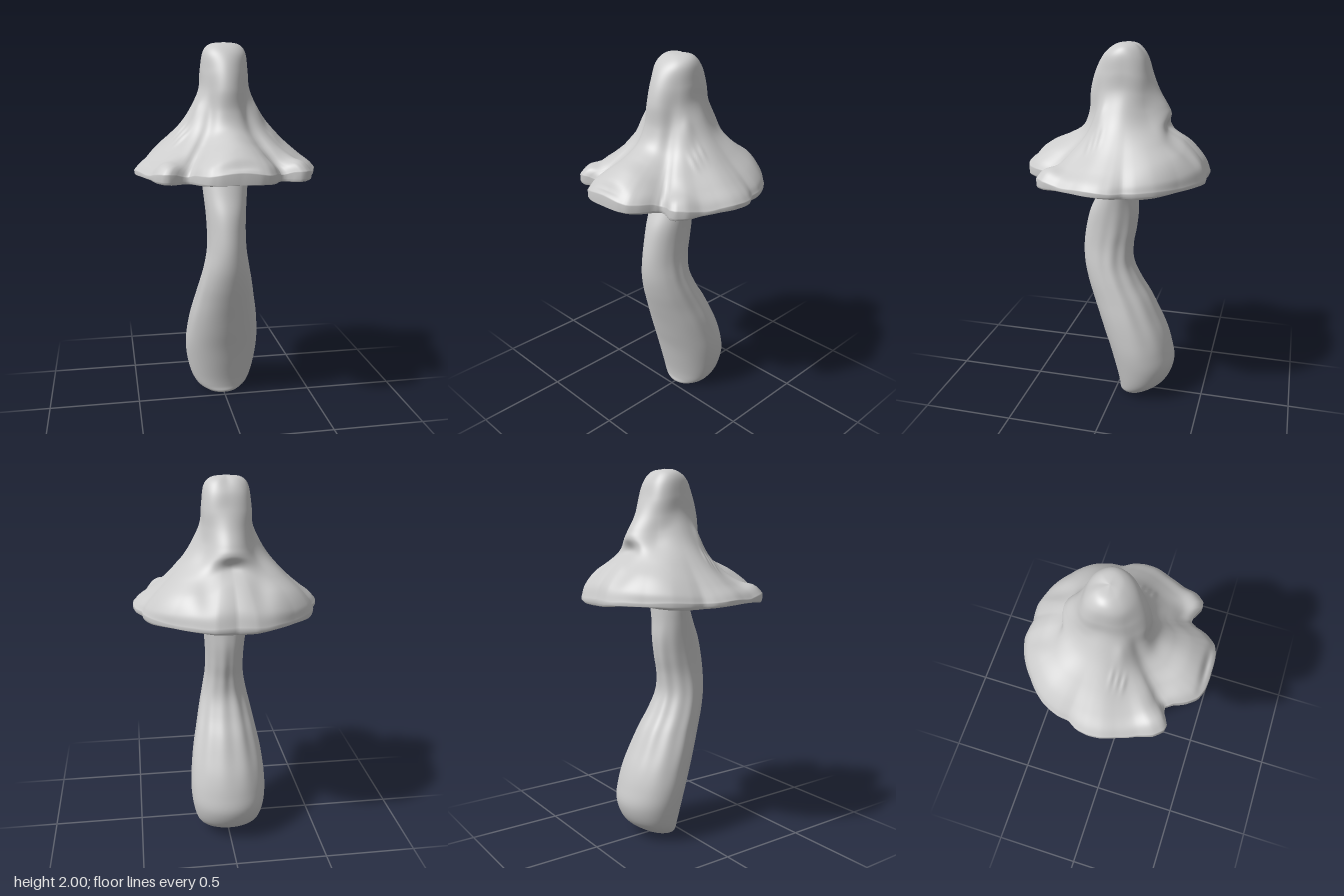
import * as THREE from 'three';
import { mergeVertices } from 'three/addons/utils/BufferGeometryUtils.js';

const COLS = 224;
const MID_Z = -0.05; // axis of the cap
const smooth = THREE.MathUtils.smoothstep;
const lerp = THREE.MathUtils.lerp;
const curve = (pts, closed = false) =>
  new THREE.CatmullRomCurve3(pts.map(p => new THREE.Vector3(p[0], p[1], p[2] || 0)), closed, 'catmullrom');
const bump = (x, z, cx, cz, sx, sz) => Math.exp(-(((x - cx) / sx) ** 2) - ((z - cz) / sz) ** 2);

// Closed-round skin from rings listed top to bottom; ring(i) returns a point function of the angle.
function skin(name, rows, ring, material) {
  const pos = [], index = [];
  for (let i = 0; i <= rows; i++) {
    const at = ring(i);
    for (let j = 0; j < COLS; j++) pos.push(...at((j / COLS) * Math.PI * 2));
  }
  for (let i = 0; i < rows; i++) {
    for (let j = 0; j < COLS; j++) {
      const k = (j + 1) % COLS, a = i * COLS + j, b = a + COLS, c = i * COLS + k, d = c + COLS;
      index.push(a, b, c, c, b, d);
    }
  }
  let geo = new THREE.BufferGeometry();
  geo.setAttribute('position', new THREE.Float32BufferAttribute(pos, 3));
  geo.setIndex(index);
  geo = mergeVertices(geo, 1e-5);
  geo.computeVertexNormals();
  const mesh = new THREE.Mesh(geo, material);
  mesh.name = name;
  return mesh;
}

// Cap profiles [distance from axis, height], front round to back in 45 degree steps
const front = [[0, 2], [.06, 1.988], [.12, 1.94], [.165, 1.86], [.193, 1.76], [.2, 1.65], [.235, 1.565], [.31, 1.515], [.40, 1.475], [.48, 1.42], [.525, 1.37]];
const frontCorner = [[0, 2], [.07, 1.987], [.12, 1.94], [.14, 1.85], [.155, 1.75], [.19, 1.65], [.245, 1.55], [.32, 1.475], [.41, 1.42], [.48, 1.385], [.52, 1.345]];
const side = [[0, 2], [.075, 1.99], [.112, 1.95], [.125, 1.86], [.132, 1.77], [.165, 1.69], [.22, 1.6], [.31, 1.5], [.40, 1.42], [.46, 1.37], [.49, 1.335]];
const backCorner = [[0, 2], [.07, 1.985], [.115, 1.93], [.14, 1.84], [.15, 1.75], [.168, 1.67], [.21, 1.6], [.3, 1.53], [.4, 1.46], [.46, 1.39], [.48, 1.335]];
const back = [[0, 2], [.055, 1.98], [.1, 1.93], [.13, 1.85], [.17, 1.76], [.215, 1.685], [.232, 1.64], [.215, 1.575], [.31, 1.51], [.395, 1.42], [.43, 1.335]];
const profiles = [front, frontCorner, side, backCorner, back].map(p => curve(p));

// Right-hand half of the rim outline [x, z], front to back, stored as [angle, radius]
const rimPolar = [[0, .475], [.1, .47], [.15, .45], [.19, .4], [.215, .34], [.24, .305], [.28, .31], [.32, .34], [.36, .335],
  [.4, .29], [.42, .22], [.46, .12], [.485, .05], [.49, -.02], [.478, -.08], [.447, -.13], [.44, -.19], [.4, -.28], [.3, -.38], [.2, -.45], [.1, -.485], [0, -.475]]
  .map(([x, z]) => [Math.atan2(x, z - MID_Z), Math.hypot(x, z - MID_Z)]);

function rim(theta) {
  const a = Math.acos(Math.min(1, Math.max(-1, Math.cos(theta))));
  let k = 1;
  while (k < rimPolar.length - 1 && rimPolar[k][0] < a) k++;
  const [a0, r0] = rimPolar[k - 1], [a1, r1] = rimPolar[k];
  return THREE.MathUtils.mapLinear(a, a0, a1, r0, r1);
}

// Ring through the eight profile directions at one step down the slope
function profileRing(t) {
  const p = profiles.map(c => c.getPoint(t));
  return new THREE.CatmullRomCurve3([...p, p[3], p[2], p[1]].map(v => v.clone()), true, 'catmullrom');
}
const edgeRing = profileRing(1);

// Draped outer surface with folds, hollows and small side wrinkles
function capTop(t) {
  const ring = profileRing(t), drape = smooth(t, .55, 1), fold = smooth(t, .45, .75);
  const valley = smooth(t, .3, .55) * (1 - smooth(t, .75, .98));
  return theta => {
    const p = ring.getPoint(theta / (Math.PI * 2));
    const a = Math.acos(Math.min(1, Math.max(-1, Math.cos(theta))));
    const r = p.x * lerp(1, rim(theta) / edgeRing.getPoint(theta / (Math.PI * 2)).x, drape)
      * (1 - .09 * valley * Math.exp(-(((a - .55) / .2) ** 2)));
    const x = r * Math.sin(theta), z = MID_Z + r * Math.cos(theta), ax = Math.abs(x);
    let y = p.y + .006 * fold * Math.cos(9 * theta) * (.4 + .6 * smooth(z, -.2, .2));
    y += fold * (-.022 * bump(ax, z, .13, -.37, .06, .1) - .02 * bump(ax, z, 0, .44, .1, .018));
    y += fold * (.012 * bump(ax, z, .36, .27, .06, .06) - .025 * bump(ax, z, .24, .27, .06, .06));
    for (const cz of [.03, .06, .09]) y += fold * .012 * bump(ax, z, .24, cz, .035, .011);
    y += .02 * valley * bump(ax, z, .16, .05, .035, .03);
    return [x, y, z];
  };
}

// Shallow gilled underside: [blend from stem collar to rim, height]
const under = curve([[1, 1.322], [.98, 1.312], [.93, 1.318], [.8, 1.343], [.55, 1.36], [.3, 1.343], [.12, 1.312], [.02, 1.27], [-.15, 1.24]]);
function capUnder(t) {
  const p = under.getPoint(t), gill = smooth(t, .2, .45) * (1 - smooth(t, .65, .85));
  return theta => {
    const r = rim(theta), s = Math.sin(theta), c = Math.cos(theta);
    const ripple = .006 * Math.cos(29 * theta) + .004 * Math.cos(17 * theta + 1);
    const wave = .008 * Math.cos(5 * theta) * smooth(p.x, .7, 1) * smooth(t, 0, .15);
    return [lerp(.13, r, p.x) * s, p.y + gill * ripple + wave, lerp(-.02 + .09 * c, MID_Z + r * c, p.x)];
  };
}

// Stem sections, top to bottom: [height, half width, front z, back z]
const stemRows = [[1.36, .125, .055, -.1], [1.3, .13, .07, -.11], [1.2, .12, .11, -.11], [1.1, .11, .155, -.115], [1.0, .105, .18, -.105],
  [.9, .108, .193, -.087], [.8, .125, .19, -.088], [.7, .147, .17, -.13], [.6, .168, .14, -.19], [.5, .189, .107, -.24], [.4, .203, .075, -.287],
  [.3, .21, .042, -.318], [.2, .203, .015, -.333], [.1, .18, -.01, -.295], [.04, .145, -.02, -.22], [.012, .1, -.02, -.16], [0, .06, -.035, -.12], [.004, 0, -.08, -.08]];
const widths = curve(stemRows.map(r => [r[0], r[1]]));
const depths = curve(stemRows.map(r => [r[0], r[2], r[3]]));
function stemRing(t) {
  const w = widths.getPoint(t), d = depths.getPoint(t);
  const groove = smooth(w.x, .25, .65) * (1 - smooth(w.x, .85, 1.3));
  return theta => {
    const flutes = .018 * Math.sin(11 * theta) + .012 * Math.cos(7 * theta);
    const ripple = 1 + groove * flutes * smooth(-Math.cos(theta), -.8, .2);
    return [Math.max(0, w.y) * ripple * Math.sin(theta), Math.max(0, w.x), (d.y + d.z) / 2 + ((d.y - d.z) / 2) * ripple * Math.cos(theta)];
  };
}

export function createModel() {
  const group = new THREE.Group();
  group.name = 'mushroom';
  const material = new THREE.MeshStandardMaterial({ color: 0xcccccc, side: THREE.DoubleSide });
  const TOP = 90, UNDER = 48, STEM = 90;
  group.add(skin('cap', TOP + UNDER, i => (i <= TOP ? capTop(i / TOP) : capUnder((i - TOP) / UNDER)), material));
  group.add(skin('stem', STEM, i => stemRing(i / STEM), material));
  return group;
}
